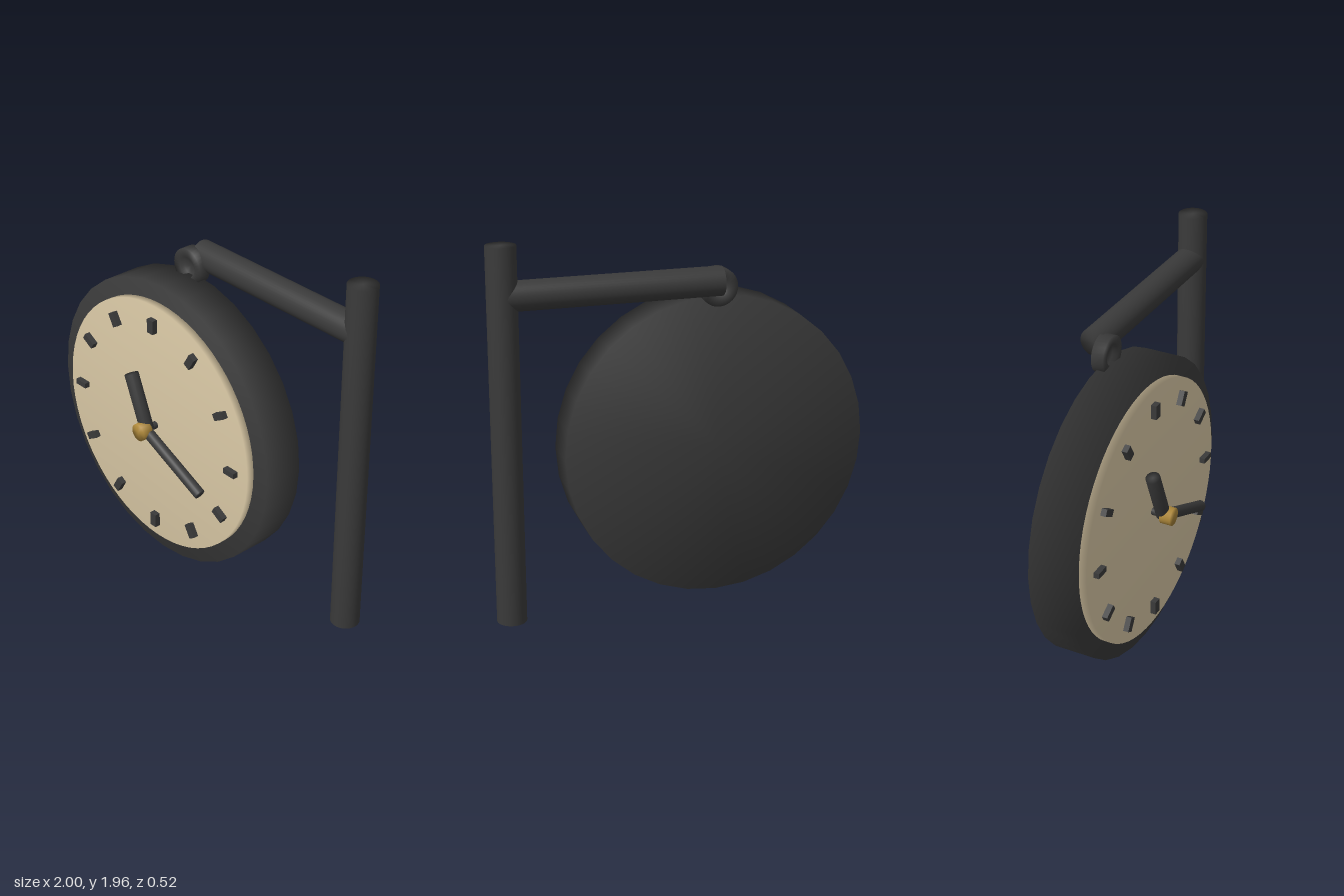
import * as THREE from 'three';
import { mergeVertices } from 'three/addons/utils/BufferGeometryUtils.js';

const CX = -0.195, CY = 0.81;   // dial centre
const BACK = -0.187;            // depth of the post and arm

// Weld the seams so shading rolls softly over the rims
function soften(geometry) {
  geometry.deleteAttribute('uv');
  geometry.deleteAttribute('normal');
  const welded = mergeVertices(geometry, 1e-4);
  welded.computeVertexNormals();
  return welded;
}

// Softly shaded rod between two points
function rod(a, b, radius, sides) {
  const from = new THREE.Vector3(...a), to = new THREE.Vector3(...b);
  const dir = to.clone().sub(from);
  const geometry = soften(new THREE.CylinderGeometry(radius, radius, dir.length(), sides));
  geometry.applyQuaternion(new THREE.Quaternion().setFromUnitVectors(
    new THREE.Vector3(0, 1, 0), dir.clone().normalize()));
  const mid = from.add(to).multiplyScalar(0.5);
  return geometry.translate(mid.x, mid.y, mid.z);
}

// Disc facing the front, between two depths
function disc(radius, z0, z1, sides) {
  return soften(new THREE.CylinderGeometry(radius, radius, z1 - z0, sides))
    .rotateX(Math.PI / 2).translate(CX, CY, (z0 + z1) / 2);
}

export function createModel() {
  const iron = new THREE.MeshStandardMaterial({ color: 0x3a3a3a });
  iron.name = 'dark iron';
  const cream = new THREE.MeshStandardMaterial({ color: 0xd9c8a5 });
  cream.name = 'cream';
  const brass = new THREE.MeshStandardMaterial({ color: 0xb08a3c });
  brass.name = 'brass';

  const model = new THREE.Group();
  model.name = 'hangingClock';
  const add = (name, geometry, material, parent = model) => {
    const mesh = new THREE.Mesh(geometry, material);
    mesh.name = name;
    parent.add(mesh);
    return mesh;
  };

  // Post and bracket arm
  add('post', rod([0.922, 0, BACK], [0.922, 1.96, BACK], 0.077, 32), iron);
  add('arm', rod([CX, 1.705, BACK], [0.922, 1.705, BACK], 0.076, 32), iron);

  // Hanger eye: a thick ring with a recessed web on both sides
  const eyeProfile = [
    [0, -0.008], [0.05, -0.008], [0.056, -0.033], [0.1, -0.033],
    [0.1, 0.033], [0.056, 0.033], [0.05, 0.008], [0, 0.008],
  ].map(([x, y]) => new THREE.Vector2(x, y));
  const eye = add('hangerEye', soften(new THREE.LatheGeometry(eyeProfile, 32)), iron);
  eye.rotation.x = Math.PI / 2;
  eye.position.set(CX, 1.661, -0.118);

  // Case and dial
  add('case', disc(0.805, -0.128, 0.097, 32), iron);
  add('dial', disc(0.706, 0.09, 0.14, 64), cream);

  // Hour marks, widest at the top and bottom
  const marks = new THREE.Group();
  marks.name = 'hourMarks';
  model.add(marks);
  for (let i = 0; i < 12; i++) {
    const angle = i * Math.PI / 6;
    const width = 0.03 + 0.014 * Math.abs(Math.cos(angle));
    const mark = add('hourMark', new THREE.BoxGeometry(width, 0.077, 0.04), iron, marks);
    mark.position.set(CX + 0.597 * Math.sin(angle), CY + 0.597 * Math.cos(angle), 0.15);
    mark.rotation.z = -angle;
  }

  // Hands and centre cap
  add('hourHand', rod([CX, CY, 0.2], [CX - 0.118, CY + 0.284, 0.2], 0.038, 20), iron);
  add('minuteHand', rod([CX, CY, 0.21], [CX + 0.427, CY - 0.195, 0.21], 0.03, 20), iron);
  add('spindle', disc(0.02, 0.13, 0.2, 16), iron);
  add('centreCap', disc(0.048, 0.2, 0.26, 24), brass);

  return model;
}
